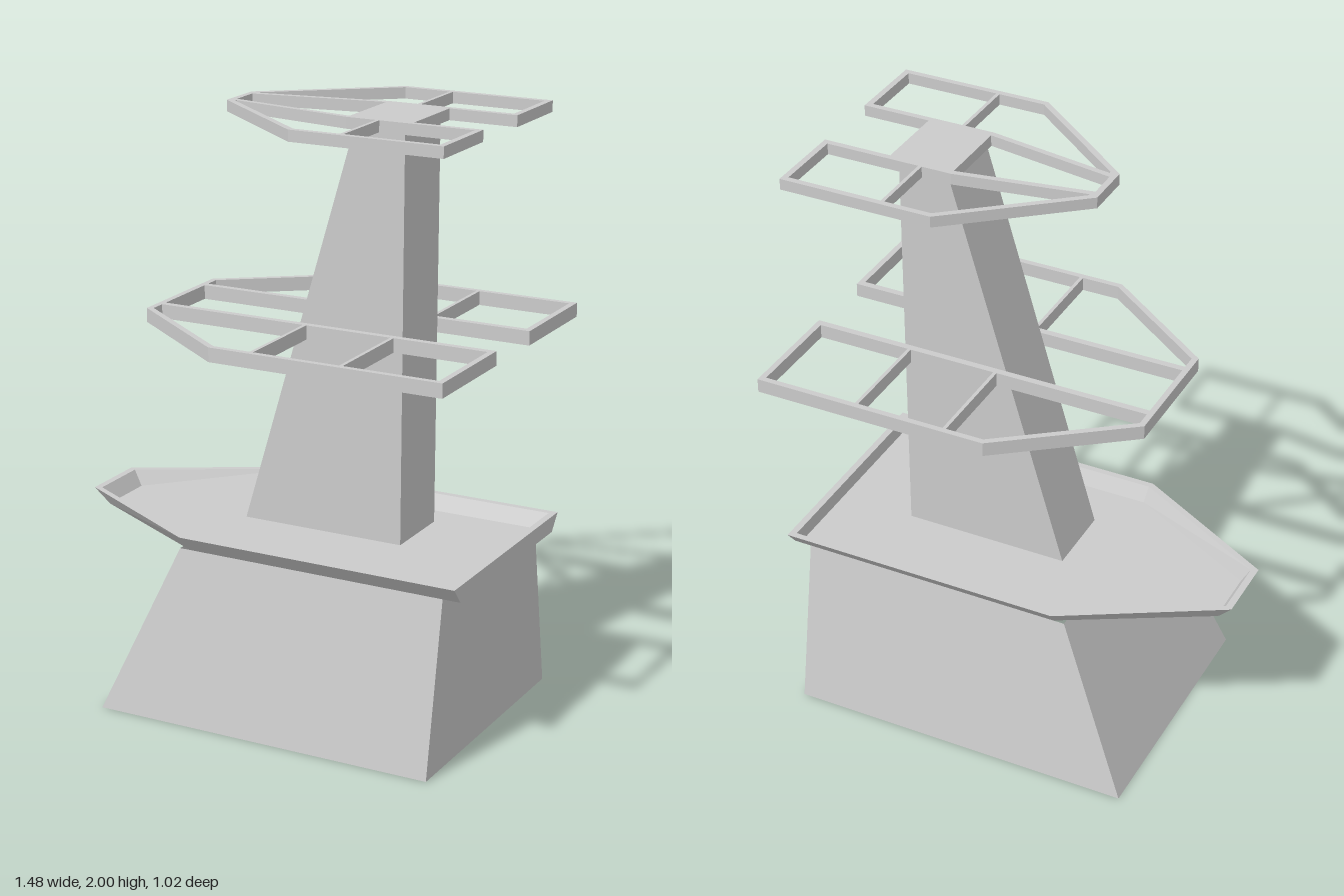
import * as THREE from 'three';

const material = new THREE.MeshStandardMaterial({ color: 0xcccccc, flatShading: true, side: THREE.DoubleSide });

// Mirror a half outline (nose to stern on the +z side) into a closed loop
const mirror = (half) => [...half, ...half.slice().reverse().map(([x, z]) => [x, -z])];

// Skin stacked rings of [x, z] points, each at its own height
function loft(rings, capBottom, capTop) {
  const pos = [];
  const pts = rings.map(({ y, half }) => mirror(half).map(([x, z]) => [x, y, z]));
  const n = pts[0].length;
  for (let k = 0; k < pts.length - 1; k++) {
    for (let i = 0; i < n; i++) {
      const j = (i + 1) % n;
      const a = pts[k][i], b = pts[k][j], c = pts[k + 1][j], d = pts[k + 1][i];
      pos.push(...a, ...b, ...c, ...a, ...c, ...d);
    }
  }
  const last = pts[pts.length - 1];
  for (let i = 1; i < n - 1; i++) {
    if (capTop) pos.push(...last[0], ...last[i], ...last[i + 1]);
    if (capBottom) pos.push(...pts[0][0], ...pts[0][i + 1], ...pts[0][i]);
  }
  const geo = new THREE.BufferGeometry();
  geo.setAttribute('position', new THREE.Float32BufferAttribute(pos, 3));
  geo.computeVertexNormals();
  return geo;
}

const toPoints = (list) => list.map(([x, z]) => new THREE.Vector2(x, z));

// Flat open frame: outline with cells cut out on both sides
function frame(outlineHalf, cells, centreHole, yBottom, yTop) {
  const shape = new THREE.Shape(toPoints(mirror(outlineHalf)));
  for (const cell of cells) {
    for (const side of [1, -1]) {
      shape.holes.push(new THREE.Path(toPoints(cell.map(([x, z]) => [x, z * side]))));
    }
  }
  if (centreHole) shape.holes.push(new THREE.Path(toPoints(mirror(centreHole))));
  const geo = new THREE.ExtrudeGeometry(shape, { depth: yTop - yBottom, bevelEnabled: false });
  geo.rotateX(Math.PI / 2);
  geo.translate(0, yTop, 0);
  return geo;
}

const rect = (x0, x1, z0, z1) => [[x0, z0], [x1, z0], [x1, z1], [x0, z1]];

export function createModel() {
  const group = new THREE.Group();
  const add = (name, geo) => {
    const mesh = new THREE.Mesh(geo, material);
    mesh.name = name;
    group.add(mesh);
  };

  // Tapered base, open underneath
  add('base', loft([
    { y: 0, half: [[-0.51, 0.455], [0.68, 0.455]] },
    { y: 0.575, half: [[-0.26, 0.355], [0.68, 0.355]] },
  ], false, false));

  // Pointed deck with a flared rim around a sunken floor
  add('deck', loft([
    { y: 0.575, half: [[-0.69, 0.1], [-0.222, 0.355], [0.74, 0.355]] },
    { y: 0.63, half: [[-0.74, 0.115], [-0.235, 0.4], [0.74, 0.4]] },
    { y: 0.63, half: [[-0.717, 0.105], [-0.229, 0.378], [0.717, 0.378]] },
    { y: 0.578, half: [[-0.687, 0.098], [-0.222, 0.353], [0.717, 0.353]] },
  ], true, true));

  // Tower with a raked leading face
  add('tower', loft([
    { y: 0.63, half: [[-0.143, 0.125], [0.42, 0.125]] },
    { y: 1.963, half: [[0.246, 0.125], [0.42, 0.125]] },
  ], true, true));

  // Middle frame, with a slot for the tower open to the stern
  add('middleFrame', frame(
    [[-0.44, 0.125], [0.74, 0.125], [0.74, 0.51], [-0.055, 0.51], [-0.46, 0.21]].reverse(),
    [
      [[-0.44, 0.148], [0.08, 0.148], [0.08, 0.49], [-0.048, 0.49], [-0.44, 0.2]],
      rect(0.092, 0.388, 0.148, 0.49),
      rect(0.4, 0.72, 0.148, 0.49),
    ], null, 1.273, 1.32));

  // Top frame, with a solid plate over the tower and two struts to the nose
  add('topFrame', frame(
    [[-0.23, 0.08], [0.165, 0.4], [0.68, 0.4], [0.68, 0.125], [0.45, 0.125]],
    [
      [[-0.2, 0.072], [0.23, 0.145], [0.33, 0.145], [0.33, 0.38], [0.172, 0.38], [-0.2, 0.079]],
      rect(0.342, 0.66, 0.145, 0.38),
    ], [[-0.21, 0.05], [0.23, 0.125]], 1.963, 2));

  return group;
}
